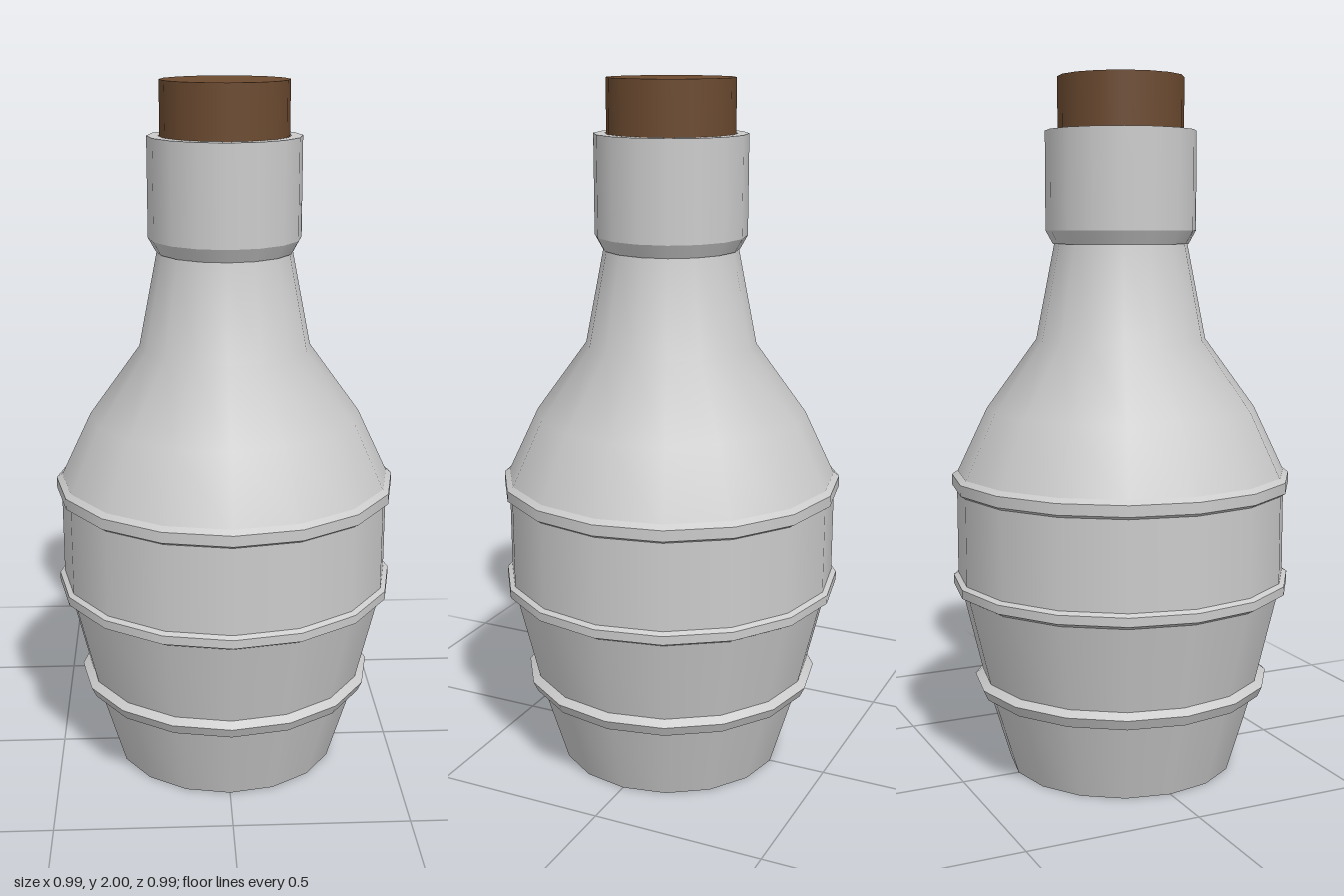
import * as THREE from 'three';
import { mergeGeometries } from 'three/addons/utils/BufferGeometryUtils.js';

const SIDES = 16;
const grey = new THREE.MeshStandardMaterial({ color: 0xcccccc });
const brown = new THREE.MeshStandardMaterial({ color: 0x6b4a30 });

// Turns each run of [radius, height] points; edges between runs stay sharp
function turned(name, runs, material = grey) {
  const parts = runs.map((run) =>
    new THREE.LatheGeometry(run.map(([r, y]) => new THREE.Vector2(r, y)), SIDES));
  const mesh = new THREE.Mesh(mergeGeometries(parts), material);
  mesh.name = name;
  return mesh;
}

// Splits a profile into single straight bands with sharp edges
const bands = (points) => points.slice(1).map((p, i) => [points[i], p]);

export function createModel() {
  const group = new THREE.Group();
  group.name = 'bottle';

  // Body: base, tapered lower walls, straight belly, smooth shoulder and neck
  group.add(turned('body', [
    [[0, 0], [0.33, 0]],
    [[0.33, 0], [0.4, 0.23]],
    [[0.41, 0.27], [0.475, 0.54]],
    [[0.48, 0.55], [0.48, 0.85]],
    [[0.48, 0.87], [0.39, 1.06], [0.245, 1.26], [0.19, 1.54]],
  ]));

  // Raised hoops around the body
  const hoops = [
    ['lowerHoop', [[0.39, 0.222], [0.42, 0.232], [0.434, 0.262], [0.41, 0.28]]],
    ['middleHoop', [[0.465, 0.524], [0.494, 0.54], [0.494, 0.565], [0.475, 0.576]]],
    ['upperHoop', [[0.475, 0.822], [0.494, 0.834], [0.494, 0.865], [0.478, 0.877]]],
  ];
  for (const [name, profile] of hoops) group.add(turned(name, bands(profile)));

  // Collar around the mouth, with a bevelled underside and a hollow rim
  group.add(turned('collar', bands([
    [0.185, 1.532], [0.195, 1.532], [0.216, 1.57], [0.216, 1.85], [0.184, 1.85], [0.184, 1.75], [0, 1.75],
  ])));

  // Stopper
  group.add(turned('cork', bands([[0, 1.76], [0.18, 1.76], [0.18, 2], [0, 2]]), brown));
  return group;
}
